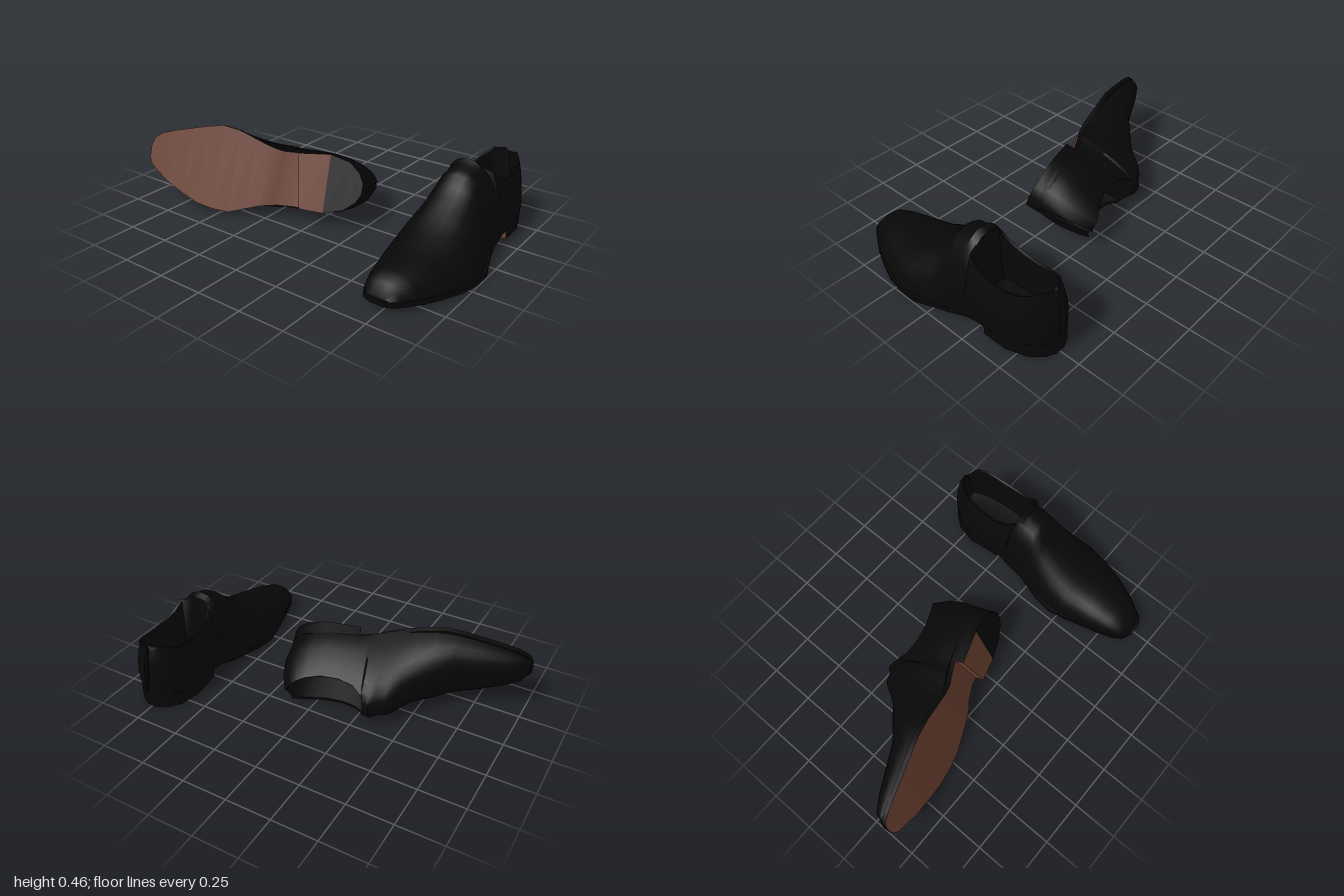
import * as THREE from 'three';
import { toCreasedNormals } from 'three/addons/utils/BufferGeometryUtils.js';

const black = new THREE.MeshStandardMaterial({ color: 0x070707, side: THREE.DoubleSide });
black.name = 'black leather';
const brown = new THREE.MeshStandardMaterial({ color: 0x693f30, side: THREE.DoubleSide });
brown.name = 'brown sole leather';

// Outsole: z, inner edge x, outer edge x, underside y
const SOLE = [
  [0.65, -0.05, 0.02, 0.037], [0.63, -0.1, 0.06, 0.035], [0.58, -0.13, 0.095, 0.029],
  [0.5, -0.155, 0.145, 0.022], [0.4, -0.18, 0.19, 0.015], [0.3, -0.205, 0.228, 0.009],
  [0.2, -0.225, 0.243, 0.005], [0.1, -0.212, 0.245, 0.005], [0, -0.18, 0.207, 0.005],
  [-0.07, -0.158, 0.182, 0.005], [-0.13, -0.142, 0.167, 0.015], [-0.17, -0.136, 0.16, 0.03],
  [-0.26, -0.14, 0.155, 0.048], [-0.44, -0.16, 0.155, 0.05], [-0.55, -0.135, 0.12, 0.05],
  [-0.61, -0.085, 0.07, 0.05], [-0.636, -0.035, 0.02, 0.05],
];

// Upper: z, inner x, outer x, top y, 1 where the foot opening is
const UPPER = [
  [0.637, -0.08, 0.05, 0.072, 0], [0.6, -0.112, 0.08, 0.125, 0], [0.52, -0.143, 0.13, 0.15, 0],
  [0.4, -0.172, 0.182, 0.175, 0], [0.25, -0.203, 0.228, 0.205, 0], [0.15, -0.205, 0.235, 0.262, 0],
  [0.05, -0.19, 0.21, 0.32, 0], [0, -0.18, 0.195, 0.365, 0], [-0.04, -0.17, 0.182, 0.41, 0],
  [-0.07, -0.168, 0.178, 0.43, 0], [-0.12, -0.166, 0.174, 0.438, 0], [-0.15, -0.165, 0.172, 0.46, 0],
  [-0.185, -0.165, 0.17, 0.442, 0], [-0.195, -0.165, 0.17, 0.4, 1], [-0.24, -0.165, 0.17, 0.355, 1],
  [-0.32, -0.166, 0.17, 0.328, 1], [-0.42, -0.165, 0.165, 0.322, 1], [-0.5, -0.152, 0.145, 0.338, 1],
  [-0.56, -0.132, 0.118, 0.355, 1], [-0.61, -0.098, 0.08, 0.375, 1], [-0.638, -0.055, 0.04, 0.378, 0],
  [-0.65, -0.025, 0.008, 0.376, 0],
];

// Linear lookup of a column in a table of rows, keyed by column 0
function lookup(table, key, col) {
  for (let i = 1; i < table.length; i++) {
    const a = table[i - 1], b = table[i];
    const t = (key - a[0]) / (b[0] - a[0]);
    if (t >= 0 && t <= 1) return a[col] + (b[col] - a[col]) * t;
  }
  return table[key > table[0][0] === table[0][0] > table[1][0] ? 0 : table.length - 1][col];
}

// Skin through equal-length rows of points; m = -1 mirrors left to right
function loft(name, rows, material, m, capStart = false, capEnd = false) {
  const n = rows[0].length, last = (rows.length - 1) * n, index = [];
  const tri = (a, b, c) => index.push(a, m > 0 ? b : c, m > 0 ? c : b);
  for (let i = 0; i < rows.length - 1; i++) {
    for (let j = 0; j < n - 1; j++) {
      const a = i * n + j, c = a + n;
      tri(a, c, a + 1);
      tri(a + 1, c, c + 1);
    }
  }
  for (let j = 1; j < n - 1; j++) {
    if (capStart) tri(0, j, j + 1);
    if (capEnd) tri(last, last + j + 1, last + j);
  }
  const g = new THREE.BufferGeometry();
  const pos = rows.flat().flatMap(([x, y, z]) => [x * m, y, z]);
  g.setAttribute('position', new THREE.Float32BufferAttribute(pos, 3));
  g.setIndex(index);
  const mesh = new THREE.Mesh(toCreasedNormals(g, 0.75), material);
  mesh.name = name;
  return mesh;
}

// Curve of the back seam: y, z
const BACK = [[0, -0.635], [0.1, -0.637], [0.19, -0.65], [0.29, -0.64], [0.38, -0.61]];

// Section of the upper from sole edge to sole edge, arched or with a foot opening
function upperSection([z, inner, outer, top, open]) {
  const base = lookup(SOLE, z, 3) + 0.02, h = top - base, pts = [];
  const arch = (deg) => {
    const a = deg * Math.PI / 180, c = Math.cos(a), s = Math.sin(a);
    const w = Math.pow(Math.abs(c), 0.85) * (c > 0 ? outer : inner);
    pts.push([w - 0.02 * s, base + h * s]);
  };
  // Walls lean in further where the rim climbs to the tongue
  const lean = z > -0.3 ? 0.27 * Math.max(1, (top / 0.33) ** 2) : 0.27;
  const wall = (w, u) => pts.push([w * (1 - lean * u * u) * (u === 0 ? 0.96 : 1), base + h * u]);
  const steps = [0, 0.2, 0.4, 0.6, 0.8, 1];
  if (open) {
    const rim = 0.92 - lean, floor = Math.min(rim, 0.62);
    steps.forEach((u) => wall(outer, u));
    pts.push([outer * rim, top - 0.005], [outer * floor, 0.11], [0, 0.1],
      [inner * floor, 0.11], [inner * rim, top - 0.005]);
    steps.reverse().forEach((u) => wall(inner, u));
  } else {
    for (const d of [0, 12, 24, 36, 48, 60, 70, 80, 90, 100, 110, 120, 132, 144, 156, 168, 180]) arch(d);
  }
  const k = Math.max(0, (-z - 0.5) / 0.15);
  return pts.map(([x, y]) => [x, y, z + k * (lookup(BACK, y, 1) + 0.65)]);
}

function makeShoe(name, m) {
  const shoe = new THREE.Group();
  shoe.name = name;
  shoe.add(loft('upper', UPPER.map(upperSection), black, m, true, true));

  // Welt and sole edge, then the brown tread beneath
  const edge = SOLE.map(([z, l, r, y]) => [
    [r, y, z], [r, y + 0.026, z], [l, y + 0.026, z], [l, y, z]]);
  shoe.add(loft('soleEdge', edge, black, m, true, true));
  const tread = SOLE.filter((s) => s[0] >= -0.44).map(([z, l, r, y]) => [[l, y, z], [r, y, z]]);
  shoe.add(loft('tread', tread, brown, m));

  // Heel block with a slanted breast, brown front tip and black rear tip
  const heel = SOLE.filter((s) => s[0] <= -0.26);
  const outerZ = (z) => (z === heel[0][0] ? z - 0.045 : z);
  const sides = heel.map(([z, l, r, y]) => [
    [r, 0, outerZ(z)], [r, y, outerZ(z)], [l, y, z], [l, 0, z]]);
  shoe.add(loft('heelBlock', sides, black, m, false, true));
  const floor = heel.map(([z, l, r]) => [[l, 0, z], [r, 0, outerZ(z)]]);
  shoe.add(loft('heelFrontTip', floor.slice(0, 2), brown, m));
  shoe.add(loft('heelRearTip', floor.slice(1), black, m));
  const [r0, r1, l1, l0] = sides[0];
  shoe.add(loft('heelBreast', [[l1, r1], [l0, r0]], brown, m));
  return shoe;
}

export function createModel() {
  const model = new THREE.Group();
  model.name = 'pairOfShoes';

  const standing = makeShoe('standingShoe', 1);
  standing.position.x = 0.755;
  model.add(standing);

  // Second shoe lies on its side with the sole turned to the front
  const lying = makeShoe('lyingShoe', -1);
  const toe = new THREE.Vector3(-0.958, 0.025, 0.285).normalize();
  const up = new THREE.Vector3(-0.273, -0.355, -0.889);
  const side = new THREE.Vector3().crossVectors(up, toe).normalize();
  up.crossVectors(toe, side);
  lying.quaternion.setFromRotationMatrix(new THREE.Matrix4().makeBasis(side, up, toe));
  lying.position.set(-0.362, 0.24, 0.228);
  model.add(lying);
  return model;
}
